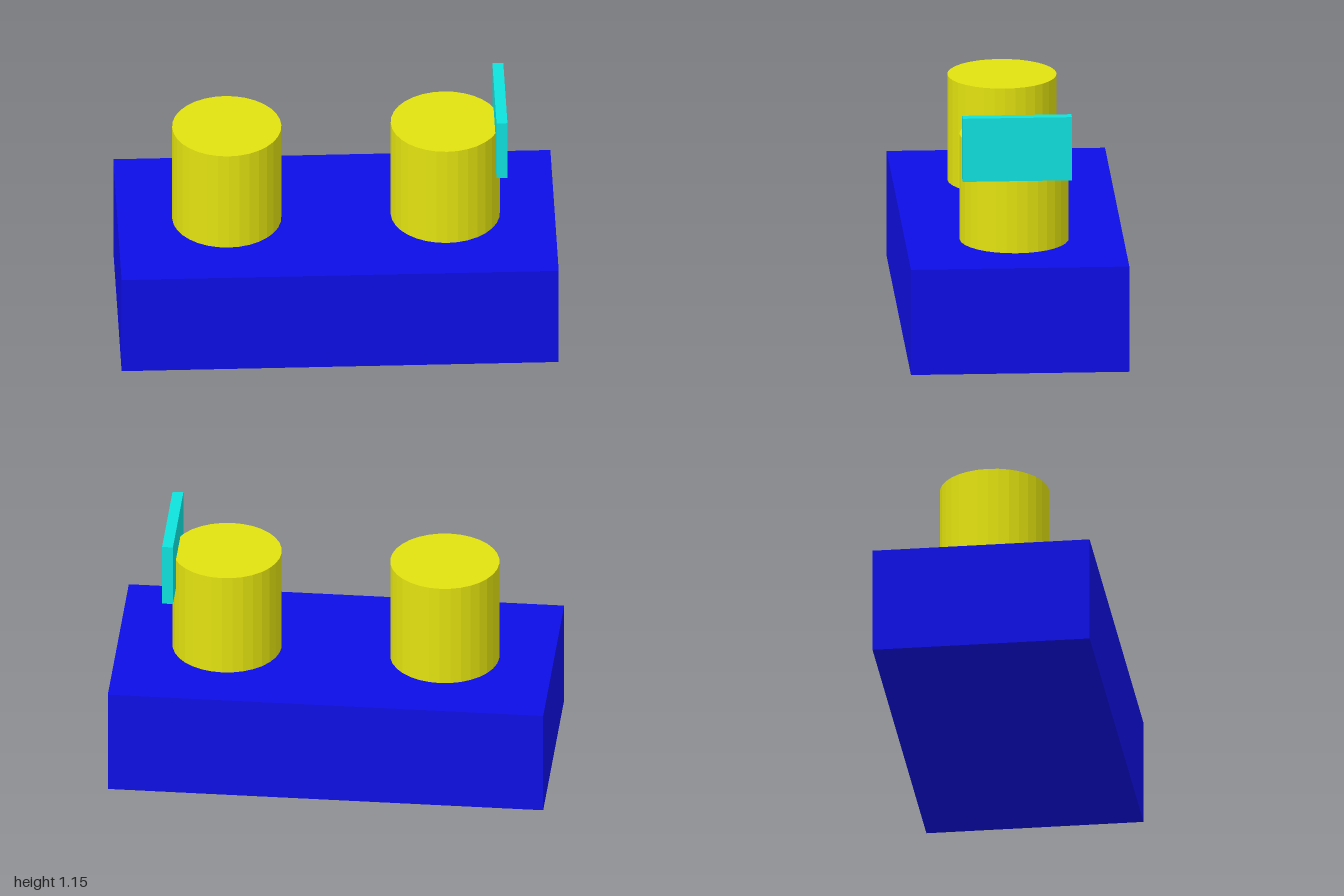
import * as THREE from 'three';

export function createModel() {
  const model = new THREE.Group();
  const material = (name, color, flatShading = false) => {
    const m = new THREE.MeshStandardMaterial({ color, flatShading });
    m.name = name;
    return m;
  };
  const blue = material('blue', 0x0e0ee6);
  const yellow = material('yellow', 0xe2e210, true);
  const turquoise = material('turquoise', 0x10e2de);

  const add = (name, geometry, mat, x, y, z) => {
    const mesh = new THREE.Mesh(geometry, mat);
    mesh.name = name;
    mesh.position.set(x, y, z);
    model.add(mesh);
  };

  // Base block
  add('base', new THREE.BoxGeometry(2, 0.5, 1), blue, 0, 0.25, 0);

  // Two faceted posts standing on the base
  const post = new THREE.CylinderGeometry(0.25, 0.25, 0.5, 32);
  add('leftPost', post, yellow, 0.5, 0.75, 0);
  add('rightPost', post, yellow, -0.5, 0.75, 0);

  // Upright plate at the outer edge of the left post
  add('plate', new THREE.BoxGeometry(0.05, 0.3, 0.5), turquoise, 0.75, 1, 0);

  return model;
}
